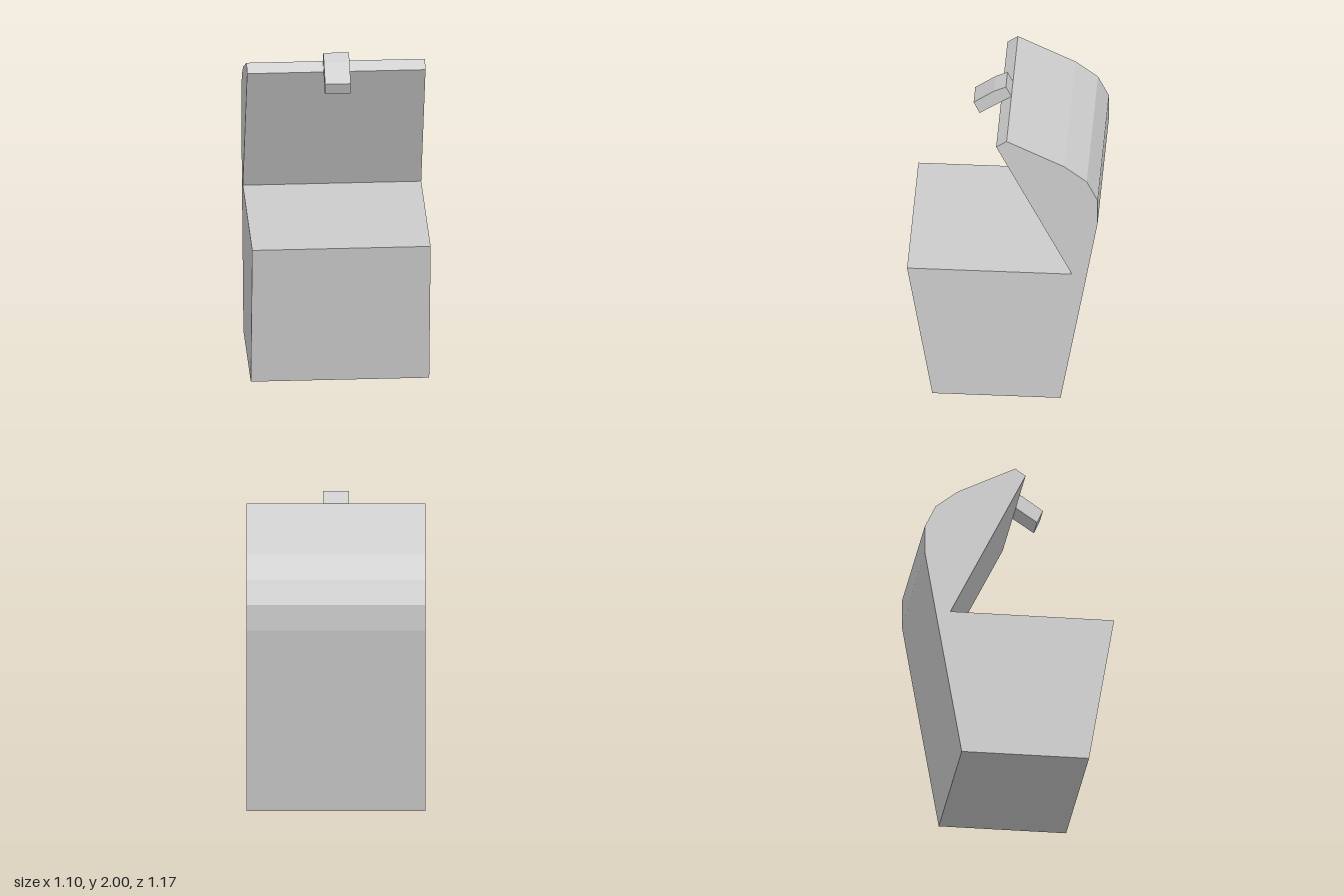
import * as THREE from 'three';

const material = new THREE.MeshStandardMaterial({ color: 0xcccccc, flatShading: true });

// Extrudes a side profile of [z, y] points across x, centred on x = 0
function sideExtrusion(name, profile, width) {
  const shape = new THREE.Shape(profile.map(([z, y]) => new THREE.Vector2(z, y)));
  const geometry = new THREE.ExtrudeGeometry(shape, { depth: width, bevelEnabled: false });
  geometry.translate(0, 0, -width / 2);
  geometry.rotateY(-Math.PI / 2);
  const mesh = new THREE.Mesh(geometry, material);
  mesh.name = name;
  return mesh;
}

export function createModel() {
  const model = new THREE.Group();
  model.name = 'openChest';
  const width = 1.095;

  // Tapered box, wider at the rim
  model.add(sideExtrusion('chestBody', [
    [0.43, 0], [0.585, 0.942], [-0.519, 0.942], [-0.357, 0],
  ], width));

  // Faceted lid, hinged open at the back of the rim
  model.add(sideExtrusion('lid', [
    [-0.427, 0.942], [0.038, 1.886], [-0.026, 1.931], [-0.38, 1.755],
    [-0.518, 1.648], [-0.585, 1.508], [-0.585, 1.335], [-0.519, 0.942],
  ], width));

  // Bent clasp on the front edge of the lid
  model.add(sideExtrusion('clasp', [
    [0.17, 1.796], [0.206, 1.876], [0.08, 1.966], [0.008, 2],
    [-0.026, 1.931], [0.038, 1.886],
  ], 0.157));

  return model;
}
